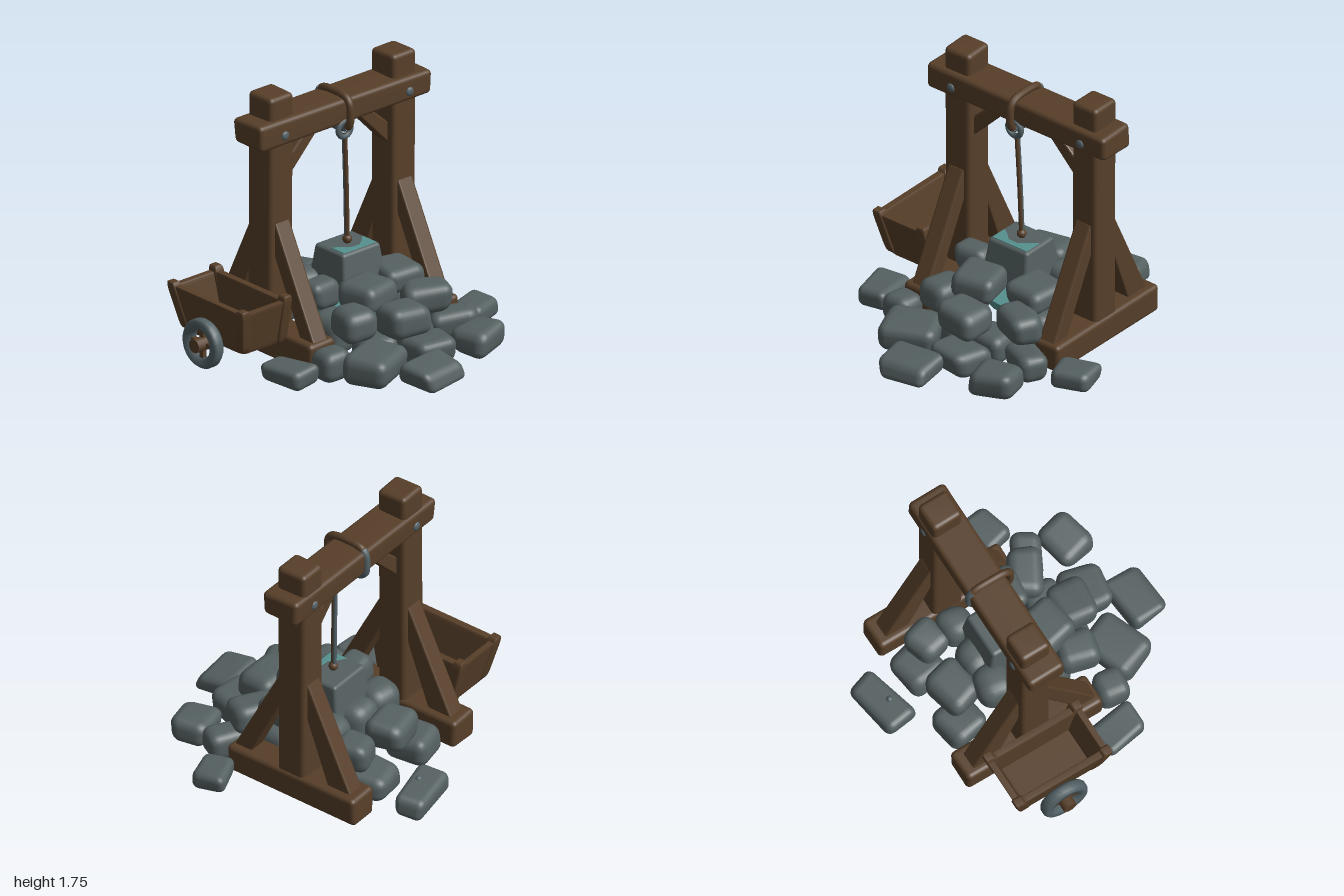
import * as THREE from 'three';
import { mergeVertices } from 'three/addons/utils/BufferGeometryUtils.js';
import { RoundedBoxGeometry } from 'three/addons/geometries/RoundedBoxGeometry.js';

const paint = (name, color) => {
  const m = new THREE.MeshStandardMaterial({ color });
  m.name = name;
  return m;
};

export function createModel() {
  const model = new THREE.Group();
  const wood = paint('brown wood', 0x573f29);
  const stone = paint('grey stone', 0x556061);
  const metal = paint('grey metal', 0x536166);
  const teal = paint('teal water', 0x55918f);

  let seed = 7;
  const rand = () => {
    seed = (seed * 16807) % 2147483647;
    return seed / 2147483647 - 0.5;
  };

  const add = (name, geo, mat, x = 0, y = 0, z = 0) => {
    const mesh = new THREE.Mesh(geo, mat);
    mesh.name = name;
    mesh.position.set(x, y, z);
    model.add(mesh);
    return mesh;
  };

  // Weld and smooth a geometry after its vertices were moved
  const smooth = (geo) => {
    geo.deleteAttribute('normal');
    geo.deleteAttribute('uv');
    geo.clearGroups();
    const g = mergeVertices(geo, 1e-5);
    g.computeVertexNormals();
    return g;
  };

  // Rounded box whose eight corners are pushed about by the given amount
  const roughBox = (w, h, d, radius, amount) => {
    const geo = new RoundedBoxGeometry(w, h, d, 3, radius);
    const corners = Array.from({ length: 8 }, () => [rand() * amount, rand() * amount, rand() * amount]);
    const p = geo.attributes.position;
    for (let i = 0; i < p.count; i++) {
      const u = [p.getX(i) / w + 0.5, p.getY(i) / h + 0.5, p.getZ(i) / d + 0.5];
      const v = [p.getX(i), p.getY(i), p.getZ(i)];
      corners.forEach((c, k) => {
        const weight = (k & 1 ? u[0] : 1 - u[0]) * (k & 2 ? u[1] : 1 - u[1]) * (k & 4 ? u[2] : 1 - u[2]);
        for (let a = 0; a < 3; a++) v[a] += c[a] * weight;
      });
      p.setXYZ(i, ...v);
    }
    return smooth(geo);
  };

  // Timber between two opposite corners
  const timber = (name, [x0, y0, z0], [x1, y1, z1]) =>
    add(name, roughBox(x1 - x0, y1 - y0, z1 - z0, 0.032, 0.012), wood, (x0 + x1) / 2, (y0 + y1) / 2, (z0 + z1) / 2);

  // Rounded block tapering from a bottom to a top rectangle [x0, x1, z0, z1]
  const taper = (name, mat, bottom, top, y0, y1, radius) => {
    const geo = new RoundedBoxGeometry(1, 1, 1, 3, radius);
    const p = geo.attributes.position;
    const mix = THREE.MathUtils.lerp;
    for (let i = 0; i < p.count; i++) {
      const t = p.getY(i) + 0.5;
      const r = bottom.map((b, k) => mix(b, top[k], t));
      p.setXYZ(i, mix(r[0], r[1], p.getX(i) + 0.5), mix(y0, y1, t), mix(r[2], r[3], p.getZ(i) + 0.5));
    }
    add(name, smooth(geo), mat);
  };

  // Flat polygon cut from a plank, centred on its thickness
  const plank = (points, thickness, b = 0.012) => {
    const shape = new THREE.Shape(points.map(([x, y]) => new THREE.Vector2(x, y)));
    return new THREE.ExtrudeGeometry(shape, {
      depth: thickness - 2 * b, bevelThickness: b, bevelSize: b, bevelOffset: -b, bevelSegments: 2,
    }).translate(0, 0, b - thickness / 2);
  };

  // Posts, sled feet and side braces
  for (const x of [-0.41, 0.605]) {
    timber('post', [x - 0.1, 0.05, -0.3], [x + 0.1, 1.75, -0.09]);
    timber('foot', [x - 0.105, 0.025, -0.695], [x + 0.11, 0.225, 0.29]);
    const front = [[0.28, 0.19], [-0.085, 0.91], [-0.13, 0.91], [-0.13, 0.76], [0.15, 0.19]];
    const back = [[-0.64, 0.19], [-0.3, 0.91], [-0.25, 0.91], [-0.25, 0.76], [-0.46, 0.19]];
    for (const side of [front, back]) {
      add('sideBrace', plank(side, 0.12).rotateY(-Math.PI / 2), wood, x, 0, 0);
    }
  }

  // Cross beam, knee braces and bolts
  timber('crossBeam', [-0.62, 1.43, -0.31], [0.8, 1.6, -0.05]);
  const knee = [[-0.34, 1.13], [-0.02, 1.46], [-0.13, 1.46], [-0.34, 1.27]];
  add('kneeBrace', plank(knee, 0.1), wood, 0, 0, -0.19);
  add('kneeBrace', plank(knee.map(([x, y]) => [0.2 - x, y]), 0.1), wood, 0, 0, -0.19);
  const bolt = new THREE.SphereGeometry(0.03, 14, 10).scale(1, 1, 0.5);
  for (const x of [-0.42, 0.61]) {
    for (const z of [-0.05, -0.31]) add('bolt', bolt, metal, x, 1.5, z);
  }

  // Loop round the beam: rope over the front and top, metal below and behind
  const loopHalf = (from) => {
    const soft = (v) => Math.sign(v) * Math.pow(Math.abs(v), 0.6);
    const pts = [];
    for (let i = 0; i <= 16; i++) {
      const a = from + (Math.PI * i) / 16;
      pts.push(new THREE.Vector3(0.085, 1.51 + 0.115 * soft(Math.sin(a)), -0.16 + 0.15 * soft(Math.cos(a))));
    }
    return new THREE.TubeGeometry(new THREE.CatmullRomCurve3(pts), 40, 0.025, 10);
  };
  add('ropeLoop', loopHalf(-Math.PI / 4), wood);
  add('loopShackle', loopHalf(Math.PI * 0.75), metal);
  add('hangingRing', new THREE.TorusGeometry(0.052, 0.018, 10, 24), metal, 0.08, 1.4, -0.06);

  // Hanging rope of a brown and a grey strand, with its knot
  const strand = (name, mat, z) => {
    const path = new THREE.CatmullRomCurve3([
      new THREE.Vector3(0.09, 1.37, z), new THREE.Vector3(0.108, 1.0, z - 0.005), new THREE.Vector3(0.12, 0.63, z - 0.01),
    ]);
    add(name, new THREE.TubeGeometry(path, 20, 0.014, 8), mat);
  };
  strand('rope', wood, -0.068);
  strand('ropeBackStrand', metal, -0.078);
  add('ropeKnot', new THREE.SphereGeometry(0.03, 14, 10), wood, 0.12, 0.645, -0.08);

  // Lifted block with a wet patch on top, and the water slab below
  taper('liftedBlock', stone, [-0.06, 0.3, -0.25, 0.1], [-0.035, 0.275, -0.21, 0.055], 0.36, 0.62, 0.08);
  const patch = plank([[-0.015, 0.08], [-0.015, -0.038], [0.255, -0.038], [0.255, 0.09], [0.2, 0.04], [0.15, 0], [0.08, 0.005], [0.03, 0.05]], 0.009, 0.002);
  add('wetPatch', patch.rotateX(-Math.PI / 2), teal, 0, 0.62, 0);
  add('waterSlab', new THREE.CylinderGeometry(0.23, 0.22, 0.06, 24), teal, 0.14, 0.22, -0.07);

  // Loose stones, laid in tiers
  const layStone = (x, z, w, d, y0, y1, turn) => {
    const h = y1 - y0;
    add('stone', roughBox(w, h, d, h * 0.36, 0.045), stone, x, (y0 + y1) / 2, z).rotation.y = turn;
  };
  // Each stone: x, z, width, depth, and a turn where it is marked
  const layTier = (y0, y1, stones) => {
    for (const [x, z, w, d, turn = rand() * 0.3] of stones) layStone(x, z, w, d, y0, y1, turn);
  };
  layTier(0.02, 0.155, [
    [0.24, -0.845, 0.39, 0.22, 0.23], [-0.69, 0.28, 0.23, 0.33, 0.15],
    [0.85, 0.285, 0.27, 0.21, 0.25], [0, 0.84, 0.34, 0.27, 0.1],
  ]);
  layTier(0.02, 0.205, [
    [-0.12, -0.52, 0.28, 0.28, 0.2], [0.31, -0.54, 0.29, 0.25, 0.15], [-0.44, 0.38, 0.2, 0.21, -0.1],
    [-0.23, 0.56, 0.38, 0.3, 0.35], [0.18, 0.6, 0.32, 0.27, -0.15], [0.53, 0.67, 0.3, 0.25, 0.25],
    [0.55, 0.4, 0.29, 0.2, -0.55], [0.25, 0.34, 0.26, 0.22], [-0.04, 0.36, 0.24, 0.22],
  ]);
  layTier(0.19, 0.39, [
    [0.02, -0.47, 0.31, 0.26, 0.2], [0.36, -0.44, 0.25, 0.23, 0.25], [-0.17, 0.31, 0.23, 0.27, -0.25],
    [0.11, 0.46, 0.3, 0.26, -0.1], [0.43, 0.3, 0.31, 0.23, -0.55],
  ]);
  layTier(0.31, 0.48, [[0.03, 0.21, 0.32, 0.27, 0.2], [0.37, 0.09, 0.28, 0.29, -0.1], [-0.18, 0, 0.23, 0.21, 0.1]]);
  // Supporting stones: two low at the sides, three behind the lifted block
  for (const x of [-0.15, 0.41]) layStone(x, 0.1, 0.24, 0.25, 0.05, 0.29, 0.1);
  for (const x of [-0.1, 0.12, 0.34]) layStone(x, -0.25, 0.24, 0.22, 0.2, 0.45, rand() * 0.4);
  add('stoneStud', new THREE.SphereGeometry(0.022, 12, 8), metal, 0.21, 0.16, -0.81);

  // Cart tray: floor, sloping walls and corner posts
  taper('cartFloor', wood, [-0.83, -0.48, -0.5, 0.02], [-0.84, -0.48, -0.51, 0.03], 0.165, 0.235, 0.1);
  taper('cartWall', wood, [-0.85, -0.8, -0.5, 0.02], [-0.91, -0.86, -0.56, 0.08], 0.18, 0.48, 0.1);
  taper('cartWall', wood, [-0.57, -0.52, -0.5, 0.02], [-0.57, -0.52, -0.56, 0.08], 0.18, 0.48, 0.1);
  const r = 0.038;
  for (const [b, t] of [[0.01, 0.08], [-0.49, -0.56]]) {
    taper('cartWall', wood, [-0.83, -0.53, b - 0.022, b + 0.022], [-0.88, -0.53, t - 0.022, t + 0.022], 0.18, 0.475, 0.1);
    taper('cartPost', wood, [-0.86, -0.79, b - r, b + r], [-0.925, -0.85, t - r, t + r], 0.19, 0.5, 0.2);
    taper('cartPost', wood, [-0.565, -0.49, b - r, b + r], [-0.575, -0.5, t - r, t + r], 0.17, 0.51, 0.2);
  }

  // Cart wheel, spokes, hub and axle
  const rim = [[0.1, -0.035], [0.145, -0.04], [0.16, -0.02], [0.16, 0.02], [0.145, 0.04], [0.1, 0.035], [0.09, 0], [0.1, -0.035]];
  const wheel = new THREE.LatheGeometry(rim.map(([a, b]) => new THREE.Vector2(a, b)), 28);
  add('wheel', wheel.rotateZ(Math.PI / 2), metal, -0.92, 0.19, -0.25);
  for (const turn of [0, Math.PI / 2]) {
    add('wheelSpoke', new THREE.BoxGeometry(0.03, 0.2, 0.03), wood, -0.92, 0.19, -0.25).rotation.x = turn;
  }
  add('axle', new THREE.CylinderGeometry(0.038, 0.038, 0.5, 14).rotateZ(Math.PI / 2), wood, -0.745, 0.19, -0.25);
  add('hub', new THREE.CylinderGeometry(0.046, 0.046, 0.1, 14).rotateZ(Math.PI / 2), wood, -0.945, 0.19, -0.25);

  return model;
}
